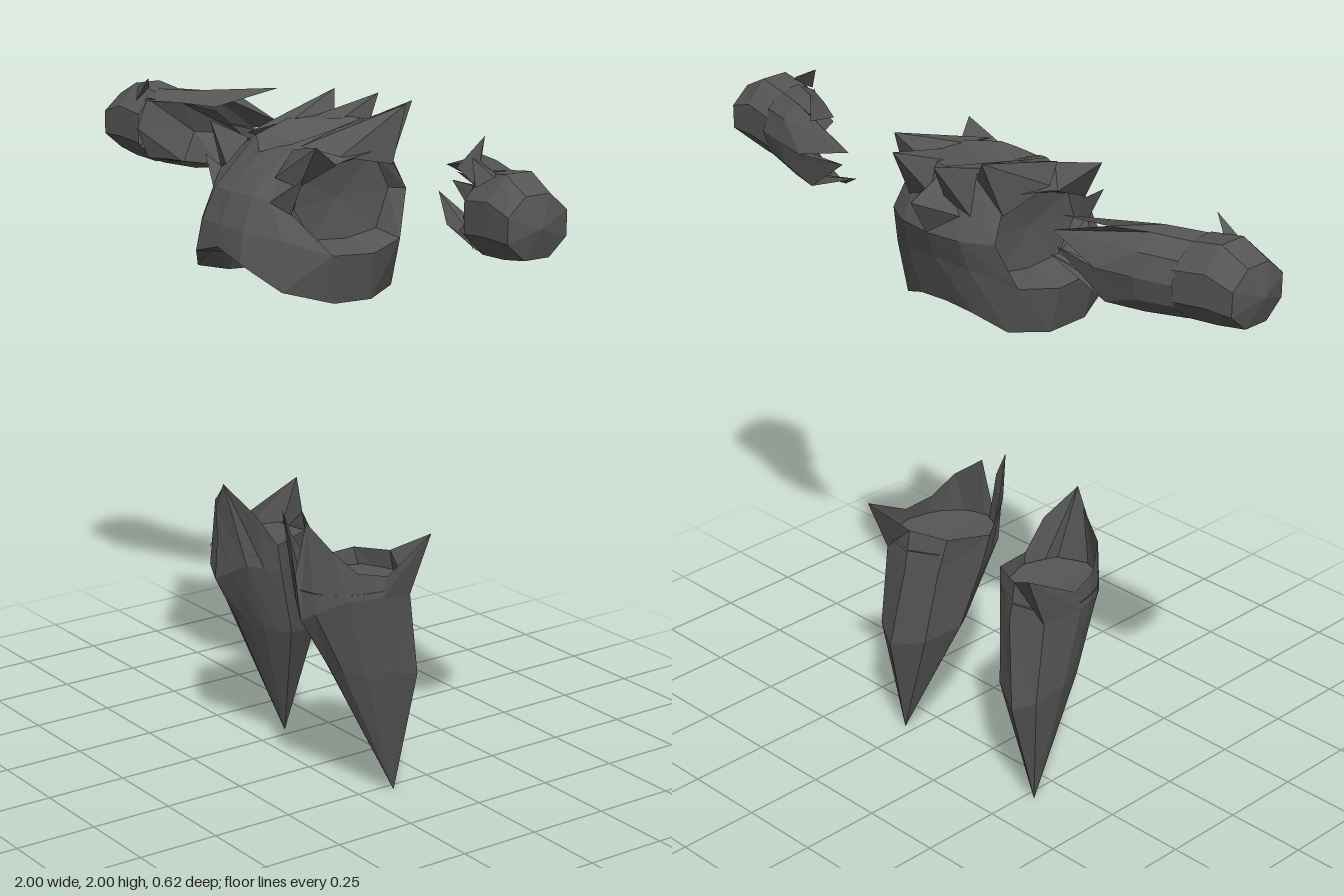
import * as THREE from 'three';

const material = new THREE.MeshStandardMaterial({ color: 0x555555, flatShading: true, side: THREE.DoubleSide });

// Skin rows of equal length; mirrored copies negate x and reverse the winding
function skin(name, rows, side = 1, closed = false) {
  const pos = [];
  const tri = (a, b, c) => {
    for (const p of side > 0 ? [a, b, c] : [a, c, b]) pos.push(p[0] * side, p[1], p[2]);
  };
  for (let r = 0; r < rows.length - 1; r++) {
    const n = rows[r].length;
    for (let i = 0; i < (closed ? n : n - 1); i++) {
      const j = (i + 1) % n;
      tri(rows[r][i], rows[r][j], rows[r + 1][j]);
      tri(rows[r][i], rows[r + 1][j], rows[r + 1][i]);
    }
  }
  const geo = new THREE.BufferGeometry();
  geo.setAttribute('position', new THREE.Float32BufferAttribute(pos, 3));
  geo.computeVertexNormals();
  const mesh = new THREE.Mesh(geo, material);
  mesh.name = name;
  return mesh;
}

const same = (p, n) => Array(n).fill(p);
const spike = (name, base, tip, side) => skin(name, [base, same(tip, base.length)], side, true);

function makeChest(side) {
  const g = new THREE.Group();
  g.name = side > 0 ? 'leftChestArmour' : 'rightChestArmour';
  // Waist band, from front centre round to back centre
  const hem = [[0, 1.63, .31], [.11, 1.6, .31], [.21, 1.53, .24], [.26, 1.49, .1],
    [.255, 1.485, -.03], [.2, 1.5, -.14], [.1, 1.54, -.18], [0, 1.545, -.18]];
  const waist = [[0, 1.69, .3], [.1, 1.69, .295], [.2, 1.67, .23], [.28, 1.63, .12],
    [.28, 1.62, -.02], [.24, 1.64, -.14], [.12, 1.68, -.21], [0, 1.69, -.225]];
  g.add(skin('waistBand', [hem, waist], side));
  // Recessed plate closing the underside
  const lining = hem.map(([x, y, z]) => [x * .85, y * .3 + 1.12, z * .85]);
  g.add(skin('undersidePlate', [lining, hem], side));
  g.add(skin('undersidePlate', [same([0, 1.62, .04], 8), lining], side));
  // Breastplate and back plate, leaving the armhole between them
  const chest = [[0, 1.78, .265], [.09, 1.78, .255], [.14, 1.77, .23], [.18, 1.74, .19]];
  const collar = [[0, 1.88, .17], [.05, 1.9, .14], [.09, 1.91, .12], [.19, 1.83, .16]];
  g.add(skin('breastplate', [waist.slice(0, 4), chest, collar], side));
  const back = [[.2, 1.77, -.19], [.11, 1.77, -.24], [0, 1.77, -.255]];
  const nape = [[.18, 1.89, -.13], [.1, 1.94, -.16], [0, 1.94, -.18]];
  g.add(skin('backPlate', [waist.slice(5), back, nape], side));
  // Shoulder strap and the plate closing the neck
  const shoulder = [.2, 1.87, .02];
  const neck = [[.09, 1.91, .12], [.11, 1.94, 0], [.1, 1.94, -.16]];
  g.add(skin('shoulderStrap', [[collar[3], shoulder, nape[0]], neck], side));
  g.add(skin('neckPlate', [[[.05, 1.9, .14], ...neck],
    [[0, 1.88, .17], [0, 1.89, .08], [0, 1.89, 0], [0, 1.94, -.18]]], side));
  // Recessed plate closing the armhole
  const armhole = [...waist.slice(3, 6), back[0], nape[0], shoulder, collar[3], chest[3]];
  const inset = armhole.map(([, y, z]) => [.155, 1.76 + (y - 1.76) * .85, z * .85]);
  g.add(skin('armholePlate', [armhole, inset, same([.14, 1.76, 0], 8)], side, true));
  // Jagged points
  g.add(spike('shoulderSpike', [[.19, 1.81, .17], [.2, 1.86, .05], [.11, 1.9, .13], [.12, 1.83, .2]], [.26, 1.93, .16], side));
  g.add(spike('armholeSpike', [[.18, 1.73, .19], [.18, 1.8, .16], [.13, 1.76, .235]], [.24, 1.84, .19], side));
  g.add(spike('outerBackSpike', [[.19, 1.88, .03], [.13, 1.91, .12], [.1, 1.94, -.02], [.1, 1.92, -.16], [.19, 1.84, -.15]], [.17, 2, -.21], side));
  g.add(spike('innerBackSpike', [[.11, 1.93, -.05], [.04, 1.94, -.15], [.03, 1.86, -.21], [.12, 1.83, -.2]], [.08, 1.99, -.3], side));
  g.add(spike('rearSpike', [[0, 1.94, -.17], [0, 1.77, -.255], [.09, 1.83, -.215]], [0, 1.87, -.31], side));
  return g;
}

// Arc of a gauntlet section, from the top through the back to the bottom
function arc(x, cy, cz, ry, rz, n, start, sweep) {
  return Array.from({ length: n }, (_, i) => {
    const a = THREE.MathUtils.degToRad(start + sweep * i / (n - 1));
    return [x, cy + ry * Math.cos(a), cz - rz * Math.sin(a)];
  });
}

function makeGauntlet(side) {
  const g = new THREE.Group();
  g.name = side > 0 ? 'leftGauntlet' : 'rightGauntlet';
  // Closed cuff with a shallow domed end
  const ring = (...s) => arc(...s, 9, -22.5, 360);
  g.add(skin('cuff', [same([1, 1.815, -.015], 9), ring(.975, 1.815, -.02, .09, .105),
    ring(.89, 1.83, -.025, .12, .11), ring(.79, 1.82, -.035, .115, .115)], side));
  // Forearm shell, open at the front and ending in long points
  const half = (...s) => arc(...s, 9, -45, 265);
  const end = half(.58, 1.82, -.125, .115, .08);
  end[1] = [.49, 1.955, -.235];
  end[3] = [.4, 1.87, -.175];
  end[5] = [.42, 1.83, -.18];
  end[7] = [.38, 1.795, -.165];
  end[8] = [.5, 1.73, -.1];
  g.add(skin('forearmShell', [half(.8, 1.82, -.035, .115, .115),
    half(.69, 1.82, -.08, .12, .1), end], side));
  // Hollow face inside the opening
  g.add(skin('forearmHollow', [
    [[.79, 1.91, .04], [.79, 1.82, .075], [.79, 1.73, .04]],
    [[.7, 1.9, -.03], [.7, 1.81, -.07], [.7, 1.72, -.03]],
    [[.58, 1.89, -.07], [.6, 1.81, -.17], [.58, 1.73, -.08]]], side));
  g.add(spike('cuffSpike', [[.86, 1.93, .03], [.82, 1.9, .06], [.84, 1.93, 0]], [.78, 1.97, .04], side));
  return g;
}

function makeShin(side) {
  const g = new THREE.Group();
  g.name = side > 0 ? 'leftShinGuard' : 'rightShinGuard';
  // Sections run from the inner side through front, outer side and back
  const low = [[.12, .39, -.02], [.14, .395, .02], [.16, .4, .05], [.2, .41, .08], [.235, .42, .1], [.28, .41, .08],
    [.32, .4, .03], [.335, .4, -.01], [.345, .4, -.05], [.33, .37, -.15], [.26, .33, -.18], [.16, .36, -.13]];
  const high = [[.085, .6, .04], [.1, .615, .09], [.12, .63, .14], [.17, .6, .165], [.22, .57, .185], [.27, .6, .17],
    [.33, .64, .1], [.35, .64, .05], [.36, .64, 0], [.33, .62, -.12], [.22, .6, -.15], [.13, .6, -.1]];
  const rim = [[.075, .69, .06], [.085, .785, .125], [.15, .885, .2], [.19, .8, .2], [.2, .7, .19], [.21, .855, .16],
    [.3, .785, .13], [.335, .72, .07], [.355, .7, -.02], [.335, .79, -.19], [.22, .72, -.13], [.11, .71, -.08]];
  g.add(skin('shinShell', [same([.28, 0, -.105], 12), low, high, rim], side, true));
  // Recessed plate closing the top
  const seat = high.map(([x, , z]) => [x, .66, z]);
  g.add(skin('shinTopPlate', [seat, same([.22, .65, .02], 12)], side, true));
  return g;
}

export function createModel() {
  const model = new THREE.Group();
  model.name = 'spikedArmour';
  for (const side of [1, -1]) model.add(makeChest(side), makeGauntlet(side), makeShin(side));
  return model;
}
